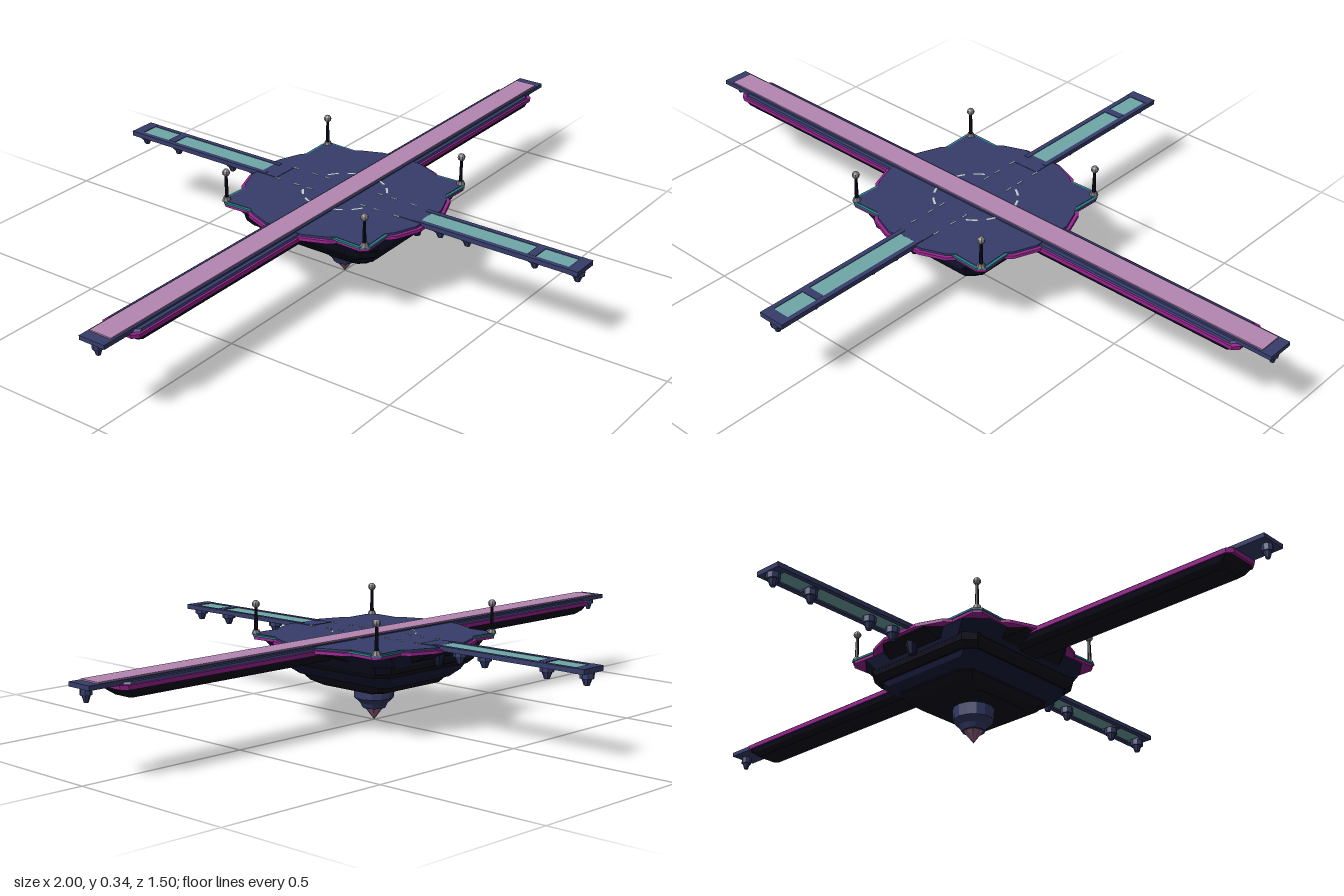
import * as THREE from 'three';

const mat = (name, color) => {
  const m = new THREE.MeshStandardMaterial({ color, flatShading: true });
  m.name = name;
  return m;
};

// Loft through chamfered rectangles: rows of [y, halfX, halfZ, chamfer], bottom to top
function loft(rows) {
  const pos = [], idx = [];
  for (const [y, x, z, c] of rows) {
    const ring = [[x, z - c], [x - c, z], [c - x, z], [-x, z - c], [-x, c - z], [c - x, -z], [x - c, -z], [x, c - z]];
    for (const [px, pz] of ring) pos.push(px, y, pz);
  }
  for (let r = 0; r < rows.length - 1; r++) for (let i = 0; i < 8; i++) {
    const a = r * 8 + i, b = r * 8 + (i + 1) % 8;
    idx.push(a, a + 8, b, b, a + 8, b + 8);
  }
  const t = (rows.length - 1) * 8;
  for (let i = 1; i < 7; i++) idx.push(0, i, i + 1, t, t + i + 1, t + i);
  const g = new THREE.BufferGeometry();
  g.setAttribute('position', new THREE.Float32BufferAttribute(pos, 3));
  g.setIndex(idx);
  g.computeVertexNormals();
  return g;
}

// Horizontal slab from an outline of [x, z], between y0 and y1
function slab(points, y0, y1) {
  const s = new THREE.Shape(points.map(([x, z]) => new THREE.Vector2(x, -z)));
  const g = new THREE.ExtrudeGeometry(s, { depth: y1 - y0, bevelEnabled: false });
  return g.rotateX(-Math.PI / 2).translate(0, y0, 0);
}

// Mirror one quadrant of an outline into a closed loop
function fourfold(q) {
  const r = [...q].reverse();
  return [...q, ...r.map(([x, z]) => [-x, z]), ...q.map(([x, z]) => [-x, -z]), ...r.map(([x, z]) => [x, -z])];
}

export function createModel() {
  const root = new THREE.Group();
  const navy = mat('navy plating', 0x363d6a);
  const black = mat('black hull', 0x0b0b1c);
  const dark = mat('dark blue hull', 0x161b3a);
  const pink = mat('pink runway', 0xb586b2);
  const teal = mat('pale teal panel', 0x70a8a8);
  const magenta = mat('magenta trim', 0x9c2492);
  const deepTeal = mat('deep teal trim', 0x2a8088);
  const grey = mat('grey metal', 0x7d7b80);
  const tip = mat('dusty tip', 0x8c7078);
  const white = mat('pale marking', 0xc4cdc8);

  const add = (name, geo, m, x = 0, y = 0, z = 0, parent = root) => {
    const mesh = new THREE.Mesh(geo, m);
    mesh.name = name;
    mesh.position.set(x, y, z);
    parent.add(mesh);
    return mesh;
  };
  const box = (name, w, h, d, m, x, y, z, parent) => add(name, new THREE.BoxGeometry(w, h, d), m, x, y, z, parent);

  // Deck, with a teal line round its corners and a magenta rim below
  const deck = [[0.276, 0.06], [0.25, 0.125], [0.235, 0.145], [0.238, 0.222], [0.222, 0.238], [0.145, 0.235], [0.125, 0.252], [0.06, 0.278]];
  add('deck', slab(fourfold(deck), 0.236, 0.245), navy);
  const corners = [[0.22, 0.1], [0.243, 0.14], [0.246, 0.226], [0.226, 0.246], [0.14, 0.243], [0.1, 0.22]];
  add('tealLine', slab(fourfold(corners), 0.238, 0.2435), deepTeal);
  const rim = [[0.286, 0.06], [0.258, 0.132], [0.24, 0.15], [0.243, 0.225], [0.225, 0.243], [0.15, 0.24], [0.132, 0.26], [0.06, 0.288]];
  add('magentaRim', slab(fourfold(rim), 0.23, 0.239), magenta);

  // Stepped hull below the deck
  add('upperHull', loft([[0.195, 0.2, 0.225, 0.045], [0.23, 0.235, 0.238, 0.05]]), dark);
  add('hullFlare', loft([[0.205, 0.21, 0.235, 0.12], [0.231, 0.275, 0.278, 0.2]]), black);
  add('middleHull', loft([[0.165, 0.185, 0.205, 0.03], [0.18, 0.195, 0.222, 0.03], [0.2, 0.2, 0.225, 0.03]]), black);
  add('lowerHull', loft([[0.13, 0.14, 0.175, 0.025], [0.15, 0.165, 0.195, 0.025], [0.166, 0.18, 0.2, 0.025]]), dark);
  add('hullBase', loft([[0.1, 0.105, 0.11, 0.02], [0.112, 0.12, 0.15, 0.02], [0.132, 0.135, 0.168, 0.02]]), black);

  // Hanging turret and its ribbed point
  const profile = [[0, 0.035], [0.032, 0.035], [0.04, 0.05], [0.056, 0.065], [0.058, 0.101], [0, 0.101]];
  add('turret', new THREE.LatheGeometry(profile.map(p => new THREE.Vector2(...p)), 14), navy);
  for (let i = 0; i < 8; i++) {
    const a = i * Math.PI / 4;
    add('tipPanel', new THREE.CylinderGeometry(0.027, 0, 0.036, 1, 1, true, a, 0.6), tip, 0, 0.018, 0);
    add('tipRib', new THREE.CylinderGeometry(0.027, 0, 0.036, 1, 1, true, a + 0.6, Math.PI / 4 - 0.6), magenta, 0, 0.018, 0);
  }

  // Long arms: spine, keel, magenta edges, runway
  box('longSpine', 2, 0.012, 0.08, navy, 0, 0.242, 0);
  add('longKeel', loft([[0.2, 0.875, 0.035, 0.01], [0.212, 0.89, 0.05, 0.01], [0.225, 0.905, 0.054, 0.01]]), black);
  add('longTrim', loft([[0.225, 0.912, 0.058, 0.015], [0.237, 0.915, 0.059, 0.015]]), magenta);
  add('longShoulder', loft([[0.236, 0.905, 0.053, 0.015], [0.243, 0.9, 0.051, 0.015]]), navy);
  box('runway', 1.94, 0.004, 0.068, pink, 0, 0.2495, 0);

  // Small tapered pod under an arm
  const pod = (x, z, r = 0.019) => {
    const g = new THREE.Group();
    g.name = 'pod';
    g.position.set(x, 0, z);
    root.add(g);
    add('podBody', new THREE.CylinderGeometry(r, r, 0.018, 8), navy, 0, 0.227, 0, g);
    add('podNose', new THREE.CylinderGeometry(r * 0.75, r * 0.4, 0.018, 8), navy, 0, 0.209, 0, g);
  };

  for (const s of [-1, 1]) {
    pod(s * 0.98, 0, 0.015);

    // Short arms: side rails, see-through panel, end cap and crossbar
    for (const e of [-1, 1]) box('armRail', 0.014, 0.013, 0.5, navy, e * 0.033, 0.241, s * 0.5);
    box('armPanel', 0.053, 0.006, 0.46, teal, 0, 0.243, s * 0.49);
    box('armCap', 0.08, 0.014, 0.032, navy, 0, 0.241, s * 0.734);
    box('armCrossbar', 0.053, 0.014, 0.024, navy, 0, 0.241, s * 0.608);
    box('armRoot', 0.08, 0.012, 0.06, navy, 0, 0.2402, s * 0.238);
    for (const z of [0.73, 0.605, 0.4, 0.315]) pod(0, s * z);
    add('rootPod', new THREE.CylinderGeometry(0.022, 0.01, 0.04, 8), dark, 0, 0.205, s * 0.24);

    // Corner masts and deck markings
    for (const e of [-1, 1]) {
      const mast = new THREE.Group();
      mast.name = 'mast';
      mast.position.set(s * 0.23, 0, e * 0.23);
      root.add(mast);
      add('mastBase', new THREE.CylinderGeometry(0.009, 0.013, 0.012, 8), grey, 0, 0.248, 0, mast);
      add('mastRod', new THREE.CylinderGeometry(0.004, 0.006, 0.08, 6), black, 0, 0.285, 0, mast);
      add('mastKnob', new THREE.SphereGeometry(0.011, 8, 6), grey, 0, 0.326, 0, mast);

      // Broken ring on the deck
      for (const [angle, span] of [[0.36, 0.42], [0.92, 0.28]]) {
        const mid = Math.atan2(-e * Math.sin(angle), s * Math.cos(angle));
        const arc = new THREE.RingGeometry(0.113, 0.119, 8, 1, mid - span / 2, span);
        add('deckArc', arc.rotateX(-Math.PI / 2), white, 0, 0.2466, 0);
      }
      for (const z of [0.09, 0.135, 0.2]) box('deckDash', 0.003, 0.002, 0.02, white, s * 0.042, 0.2455, e * z);
    }
  }
  return root;
}
